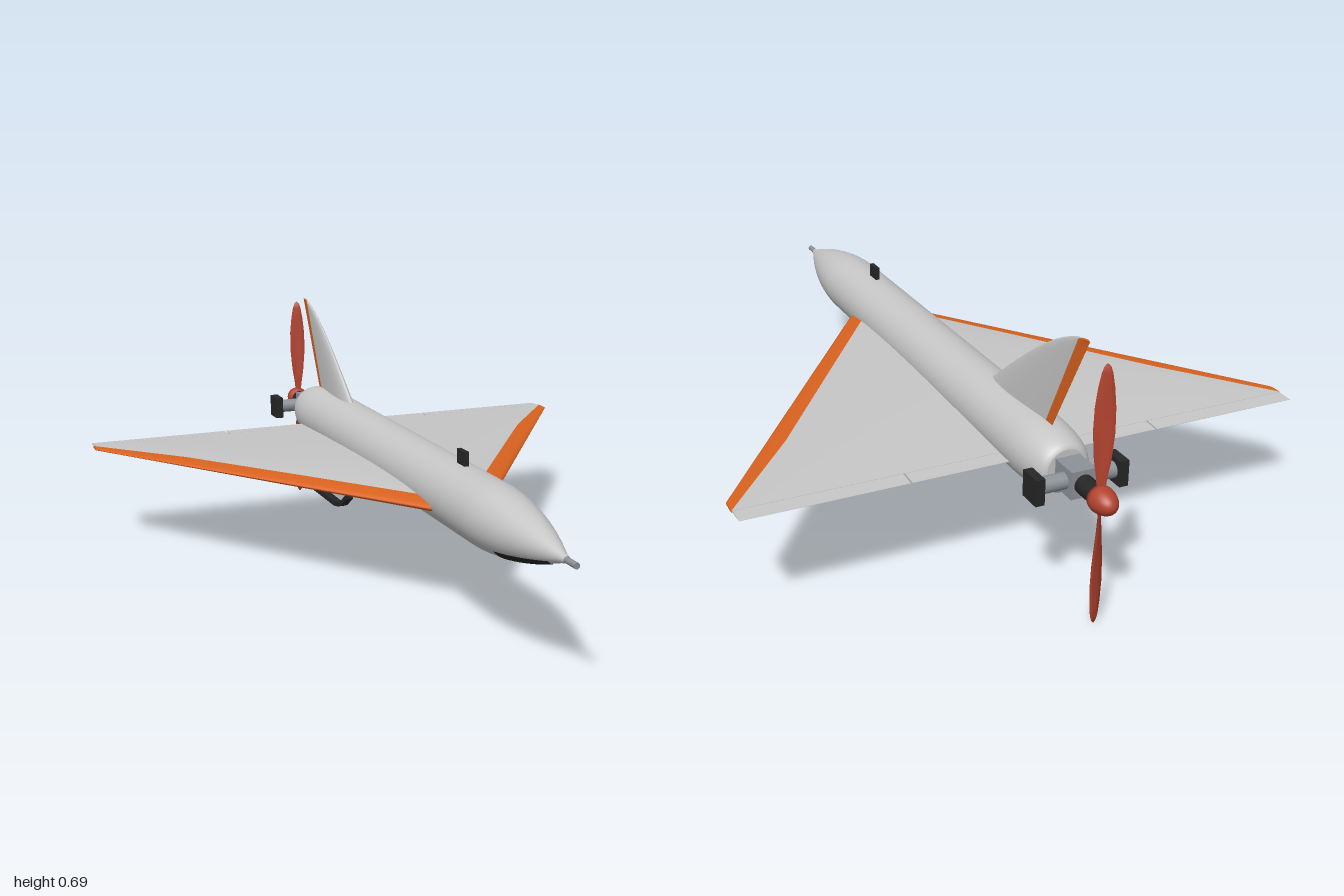
import * as THREE from 'three';
import { toCreasedNormals } from 'three/addons/utils/BufferGeometryUtils.js';

const AXIS = 0.337; // height of the fuselage centre line
const mat = (name, color) => Object.assign(new THREE.MeshStandardMaterial({ color }), { name });

// Skin closed rings of [x, y, z] points, cap both ends, face outwards
function loft(rings, crease = 0.6) {
  const n = rings[0].length, pos = rings.flat(2), idx = [];
  for (let i = 0; i < rings.length - 1; i++) for (let j = 0; j < n; j++) {
    const a = i * n + j, b = i * n + (j + 1) % n;
    idx.push(a, b, a + n, b, b + n, a + n);
  }
  [0, rings.length - 1].forEach((r) => {
    const c = pos.length / 3;
    for (let k = 0; k < 3; k++) pos.push(rings[r].reduce((s, p) => s + p[k], 0) / n);
    for (let j = 0; j < n; j++) {
      const a = r * n + j, b = r * n + (j + 1) % n;
      if (r) idx.push(a, b, c); else idx.push(b, a, c);
    }
  });
  // signed volume tells whether the winding is inside out
  const v = (i) => new THREE.Vector3().fromArray(pos, i * 3).sub(new THREE.Vector3(...rings[0][0]));
  let volume = 0;
  for (let i = 0; i < idx.length; i += 3) volume += v(idx[i]).dot(v(idx[i + 1]).cross(v(idx[i + 2])));
  if (volume < 0) idx.reverse();
  const g = new THREE.BufferGeometry();
  g.setAttribute('position', new THREE.Float32BufferAttribute(pos, 3));
  g.setIndex(idx);
  return toCreasedNormals(g, crease);
}

// Normalised airfoil half thickness (1 at its thickest)
const foil = (f) => Math.max(0.03, 10 * (0.2969 * Math.sqrt(f) - 0.126 * f - 0.3516 * f * f + 0.2843 * f ** 3 - 0.1036 * f ** 4));

// Part of an airfoil between z0 (front) and z1, as a ring of [offset, z]
function foilRing(lead, trail, z0, z1, half, steps = 10) {
  const upper = [], lower = [];
  for (let i = 0; i <= steps; i++) {
    const z = z0 + (z1 - z0) * (i / steps) ** 2;
    const f = THREE.MathUtils.clamp((lead - z) / (lead - trail), 0, 1);
    const h = f < 1e-6 ? 0 : half * foil(f);
    upper.push([h, z]);
    lower.unshift([-h, z]);
  }
  return [...upper, ...lower];
}

export function createModel() {
  const model = new THREE.Group();
  model.name = 'deltaDrone';
  const grey = mat('lightGrey', 0xc6c6c6), orange = mat('orange', 0xd9621f), black = mat('black', 0x262626);
  const metal = mat('engineGrey', 0x8d9298), red = mat('propellerRed', 0xb2432f);
  const add = (name, geometry, material, x = 0, y = 0, z = 0, parent = model) => {
    const m = new THREE.Mesh(geometry, material);
    m.name = name;
    m.position.set(x, y, z);
    parent.add(m);
    return m;
  };

  // Fuselage: rounded tail, straight tube, pointed nose
  const noseRadius = (z) => Math.max(0.009, 0.0875 * (1 - ((z - 0.58) / 0.39) ** 1.8));
  const lathe = (pts, seg = 48, start = 0, len = Math.PI * 2) =>
    new THREE.LatheGeometry(pts.map((p) => new THREE.Vector2(...p)), seg, start, len).rotateX(Math.PI / 2);
  const profile = [];
  for (let i = 0; i <= 10; i++) {
    const a = (i / 10) * Math.PI / 2;
    profile.push([0.053 + 0.0345 * Math.sin(a), -0.64 - 0.15 * Math.cos(a)]);
  }
  for (let i = 0; i <= 20; i++) {
    const z = 0.58 + i * 0.01875;
    profile.push([noseRadius(z), z]);
  }
  add('fuselage', lathe(profile), grey, 0, AXIS);
  add('tailCap', lathe([[0, -0.79], [0.053, -0.79]]).scale(1, 1, 1), grey, 0, AXIS).material.side = THREE.DoubleSide;
  add('noseProbe', new THREE.CylinderGeometry(0.008, 0.008, 0.055, 16).rotateX(Math.PI / 2), metal, 0, AXIS, 0.9725);

  // Dark window under the nose
  const pane = [];
  for (let i = 0; i <= 10; i++) {
    const z = 0.71 + i * 0.0195;
    pane.push([noseRadius(z) + 0.0015, z]);
  }
  add('noseWindow', lathe(pane, 20, -0.9, 1.8), black, 0, AXIS);
  add('topAntenna', new THREE.BoxGeometry(0.012, 0.045, 0.048), black, 0, 0.44, 0.407);

  // Delta wings with orange leading edges and elevons
  const TRAIL = -0.655, HINGE = -0.607;
  const leadZ = (x) => 0.396 - 1.397 * (x - 0.087);
  const bandZ = (x) => (x <= 0.55 ? leadZ(x) - 0.087 : THREE.MathUtils.mapLinear(x, 0.55, 0.773, -0.338, HINGE));
  const halfAt = (x) => THREE.MathUtils.mapLinear(x, 0.05, 0.773, 0.026, 0.003);
  for (const s of [1, -1]) {
    const wing = new THREE.Group();
    wing.name = s > 0 ? 'leftWing' : 'rightWing';
    model.add(wing);
    const panel = (xs, front, back) => loft(xs.map((x) =>
      foilRing(leadZ(x), TRAIL, front(x), back(x), halfAt(x)).map(([h, z]) => [s * x, 0.311 + h, z])));
    const stations = [0.05, 0.3, 0.55, 0.773];
    add('leadingEdge', panel(stations, leadZ, bandZ), orange, 0, 0, 0, wing);
    add('wingPanel', panel(stations, bandZ, () => HINGE), grey, 0, 0, 0, wing);
    for (const [name, xs] of [['innerElevon', [0.05, 0.341]], ['outerElevon', [0.346, 0.77]]]) {
      add(name, panel(xs, () => HINGE - 0.001, () => TRAIL), grey, 0, 0, 0, wing);
    }

    // Landing skid below the wing, path points are [z, y]
    const path = [[0.155, 0.294], [0.11, 0.264], [0.085, 0.255], [0.055, 0.25], [-0.375, 0.25], [-0.4, 0.256], [-0.45, 0.285], [-0.488, 0.299]];
    add('skid', loft(path.map(([z, y]) =>
      [[-1, -1], [1, -1], [1, 1], [-1, 1]].map(([a, b]) => [s * 0.22 + a * 0.01, y + b * 0.007, z]))), black, 0, 0, 0, wing);
  }

  // Tail fin with curved leading edge and orange rudder
  const finLead = new THREE.SplineCurve([[-0.38, 0.405], [-0.405, 0.424], [-0.555, 0.54], [-0.69, 0.632], [-0.79, 0.682], [-0.845, 0.695]].map((p) => new THREE.Vector2(...p)));
  const finLevels = finLead.getPoints(14);
  const finTrail = (y) => THREE.MathUtils.mapLinear(y, 0.424, 0.695, -0.715, -0.864);
  const finHinge = (y) => THREE.MathUtils.mapLinear(y, 0.424, 0.695, -0.687, -0.823);
  const finPart = (front, back) => loft(finLevels.map((p) => {
    const half = THREE.MathUtils.mapLinear(p.y, 0.405, 0.695, 0.016, 0.003);
    return foilRing(p.x, finTrail(p.y), front(p), back(p), half).map(([h, z]) => [h, p.y, z]);
  }));
  add('tailFin', finPart((p) => p.x, (p) => Math.min(p.x, finHinge(p.y))), grey);
  add('rudder', finPart((p) => Math.min(p.x, finHinge(p.y)), (p) => finTrail(p.y)), orange);

  // Flat twin engine
  add('crankcase', new THREE.BoxGeometry(0.065, 0.072, 0.08), metal, 0, AXIS, -0.828);
  for (const s of [1, -1]) {
    add('cylinder', new THREE.CylinderGeometry(0.021, 0.021, 0.08, 24).rotateZ(Math.PI / 2), metal, s * 0.066, AXIS, -0.833);
    add('cylinderHead', new THREE.BoxGeometry(0.024, 0.068, 0.064), black, s * 0.113, AXIS, -0.833);
  }
  add('shaftHousing', new THREE.CylinderGeometry(0.025, 0.025, 0.07, 24).rotateX(Math.PI / 2), black, 0, AXIS, -0.898);

  // Spinner and two twisted propeller blades
  const spinner = [];
  for (let i = 0; i <= 12; i++) {
    const a = (i / 12) * Math.PI / 2;
    spinner.push([0.034 * Math.sin(a), -0.945 - 0.055 * Math.cos(a)]);
  }
  spinner.push([0.031, -0.932], [0, -0.93]);
  add('spinner', lathe(spinner, 32), red, 0, AXIS);
  // blade stations: [radius, half chord, pitch]
  const stations = [[0.01, 0.009, 0.9], [0.05, 0.013, 0.85], [0.1, 0.02, 0.7], [0.17, 0.025, 0.52], [0.23, 0.024, 0.42], [0.28, 0.019, 0.36], [0.315, 0.013, 0.3], [0.33, 0.008, 0.28], [0.337, 0.002, 0.26]];
  for (const s of [1, -1]) {
    const rings = stations.map(([r, c, pitch]) => Array.from({ length: 12 }, (_, i) => {
      const a = (i / 12) * Math.PI * 2, u = c * Math.cos(a), w = Math.min(0.0045, c * 0.3) * Math.sin(a);
      return [s * (u * Math.cos(pitch) - w * Math.sin(pitch)), s * r, u * Math.sin(pitch) + w * Math.cos(pitch)];
    }));
    add('propellerBlade', loft(rings, 1), red, 0, AXIS, -0.942);
  }
  return model;
}
